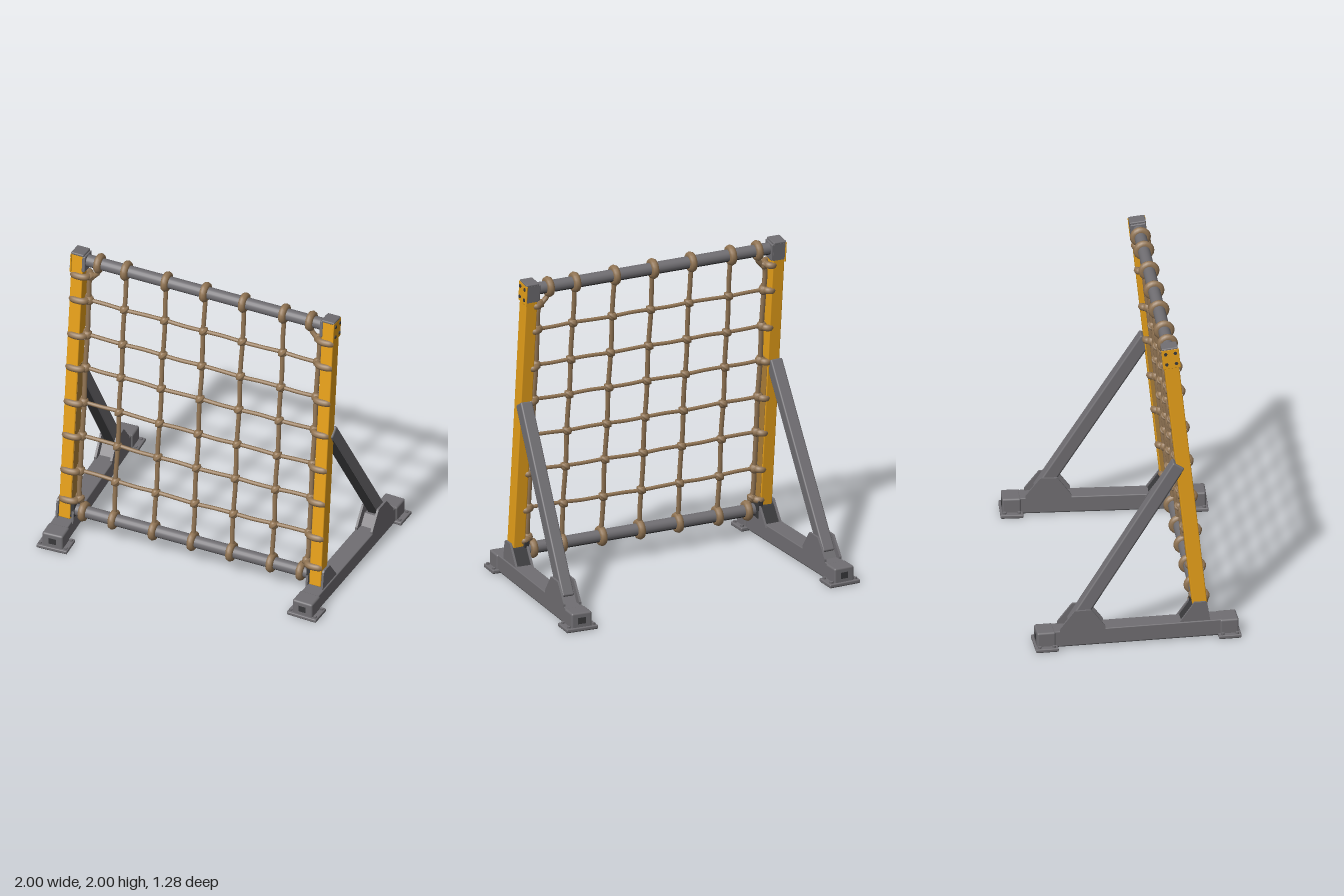
import * as THREE from 'three';
import { RoundedBoxGeometry } from 'three/addons/geometries/RoundedBoxGeometry.js';

const V = (x, y, z) => new THREE.Vector3(x, y, z);
const SLOPE = -0.105;                       // backward lean of the frame
const zAt = (y) => 0.385 + SLOPE * (y - 0.25);
const LEAN = Math.atan(SLOPE);

export function createModel() {
  const mat = (name, color) => {
    const m = new THREE.MeshStandardMaterial({ color });
    m.name = name;
    return m;
  };
  const yellow = mat('yellow paint', 0xe8a11a);
  const worn = mat('worn paint', 0xac7f38);
  const grey = mat('grey steel', 0x706e72);
  const dark = mat('dark steel', 0x39393b);
  const rope = mat('brown rope', 0x927554);

  const root = new THREE.Group();
  root.name = 'climbingNet';

  const add = (parent, name, geo, material, x = 0, y = 0, z = 0) => {
    const m = new THREE.Mesh(geo, material);
    m.name = name;
    m.position.set(x, y, z);
    parent.add(m);
    return m;
  };
  const box = (w, h, d, r = 0.006) => new RoundedBoxGeometry(w, h, d, 2, r);
  const plate = (w, h, d) => new THREE.BoxGeometry(w, h, d);
  const tube = (parent, name, pts, r) =>
    add(parent, name, new THREE.TubeGeometry(
      new THREE.CatmullRomCurve3(pts, false, 'centripetal'), pts.length * 6, r, 8), rope);

  // Trapezoid plate in the z-y plane, centred on x
  const gusset = (pts, t) => {
    const shape = new THREE.Shape(pts.map(([z, y]) => new THREE.Vector2(-z, y)));
    const g = new THREE.ExtrudeGeometry(shape, { depth: t, bevelEnabled: false });
    g.translate(0, 0, -t / 2);
    return g.rotateY(Math.PI / 2);
  };
  const frontGusset = gusset([[0.45, 0.1], [0.43, 0.23], [0.42, 0.24], [0.35, 0.24], [0.33, 0.21], [0.25, 0.1]], 0.014);
  const frontWeb = gusset([[0.36, 0.1], [0.36, 0.225], [0.335, 0.205], [0.262, 0.1]], 0.092);
  const backGusset = gusset([[-0.2, 0.1], [-0.2, 0.13], [-0.285, 0.245], [-0.39, 0.245], [-0.48, 0.13], [-0.48, 0.1]], 0.014);
  const backWeb = gusset([[-0.24, 0.1], [-0.3, 0.18], [-0.39, 0.18], [-0.45, 0.1]], 0.09);
  const bolt = new THREE.CylinderGeometry(0.011, 0.011, 0.014, 6);

  for (const s of [1, -1]) {
    const side = s > 0 ? 'left' : 'right';

    // Floor beam with feet, turned out slightly towards the back
    const base = new THREE.Group();
    base.name = side + 'Base';
    base.position.x = 0.865 * s;
    base.rotation.y = -0.044 * s;
    root.add(base);
    add(base, 'floorBeam', box(0.118, 0.103, 1.235), grey, 0, 0.0635, 0);
    add(base, 'beamUnderside', plate(0.108, 0.004, 1.0), dark, 0, 0.011, 0);
    for (const e of [1, -1]) {
      const padZ = 0.565 * e;
      const padW = e > 0 ? 0.2 : 0.21;
      add(base, 'footPad', box(padW, 0.022, 0.14), grey, 0, 0.013, padZ);
      add(base, 'padUnderside', plate(padW - 0.01, 0.004, 0.13), dark, 0, 0.002, padZ);
      add(base, 'endSleeve', box(0.135, 0.104, 0.115, 0.012), grey, 0, 0.064, padZ);
      add(base, 'endPlate', plate(0.05, 0.04, 0.008), dark, 0, 0.065, 0.62 * e);
      for (const bx of [-0.083, 0.083])
        for (const bz of [-0.045, 0.045]) add(base, 'footBolt', bolt, grey, bx, 0.028, padZ + bz);
    }
    for (const o of [-1, 1]) {
      add(base, 'frontGusset', frontGusset, grey, 0.052 * o - 0.008 * s, 0, 0);
      add(base, 'backGusset', backGusset, grey, 0.052 * o, 0, 0);
    }
    add(base, 'backWeb', backWeb, grey);
    add(base, 'frontWeb', frontWeb, dark, -0.008 * s, 0, 0);

    // Diagonal brace with a dark underside
    const a = V(0.886 * s, 0.14, -0.393), b = V(0.85 * s, 1.178, 0.259);
    const dir = b.clone().sub(a);
    const length = dir.length();
    const brace = new THREE.Group();
    brace.name = side + 'Brace';
    brace.position.copy(a).add(b).multiplyScalar(0.5);
    brace.quaternion.setFromUnitVectors(V(0, 1, 0), dir.normalize());
    root.add(brace);
    add(brace, 'braceBeam', box(0.08, length, 0.082, 0.01), grey);
    add(brace, 'braceUnderside', plate(0.068, length * 0.94, 0.006), dark, 0, 0, 0.0395);

    // Leaning post
    const post = new THREE.Group();
    post.name = side + 'Post';
    post.position.set(0.84 * s, 1.05, zAt(1.05));
    post.rotation.x = LEAN;
    root.add(post);
    add(post, 'postBeam', box(0.078, 1.87, 0.09), yellow);
    add(post, 'innerWear', plate(0.006, 1.0, 0.076), worn, -0.0385 * s, -0.35, 0);
    add(post, 'postCap', box(0.086, 0.016, 0.1), grey, 0, 0.934, 0);
    add(post, 'capBackPlate', plate(0.08, 0.11, 0.008), grey, 0, 0.875, -0.046);
    add(post, 'outerPlate', box(0.008, 0.13, 0.108, 0.003), yellow, 0.04 * s, 0.868, 0);
    for (const by of [0.835, 0.905])
      for (const bz of [-0.03, 0.03])
        add(post, 'postBolt', bolt, dark, 0.043 * s, by, bz).rotation.z = Math.PI / 2;
    add(post, 'topBarBracket', box(0.022, 0.11, 0.096), grey, -0.043 * s, 0.875, 0);
    add(post, 'bottomBarBracket', box(0.034, 0.12, 0.1), dark, -0.046 * s, -0.86, -0.008);

    // Rope lashings across the front of the post and round its inner edge
    for (const y of [1.83, 1.66, 1.41, 1.18, 0.935, 0.7, 0.455, 0.25]) {
      const lash = [[0.03, 0.03], [0.015, 0.042], [-0.03, 0.046], [-0.058, 0.034], [-0.066, 0],
        [-0.058, -0.03], [-0.038, -0.037], [-0.02, -0.02]];
      const m = tube(post, 'postLashing', lash.map(([x, z]) => V(x * s, 0, z)), 0.022);
      m.position.y = (y - 1.05) / Math.cos(LEAN);
    }
  }

  // Cross bars, each an upper shell and a dark underside
  const barArc = (start, sweep) => new THREE.CylinderGeometry(0.038, 0.038, 1.62, 14, 1, true, start, sweep)
    .rotateZ(Math.PI / 2);
  const underSweep = Math.PI * 0.6;
  const underStart = 1.5 * Math.PI - underSweep / 2;
  const underArc = barArc(underStart, underSweep);
  const upperArc = barArc(underStart + underSweep, 2 * Math.PI - underSweep);
  const bars = [[1.93, 'topBar'], [0.175, 'bottomBar']];
  for (const [y, name] of bars) {
    add(root, name, upperArc, grey, 0, y, zAt(y));
    add(root, name + 'Underside', underArc, dark, 0, y, zAt(y));
  }

  // Rope net
  const net = new THREE.Group();
  net.name = 'ropeNet';
  root.add(net);
  const rows = [1.655, 1.41, 1.175, 0.93, 0.69, 0.44];
  const cols = [-0.53, -0.26, 0, 0.26, 0.53];
  const loopGeo = new THREE.TorusGeometry(0.041, 0.024, 8, 20).rotateY(Math.PI / 2);
  const knotGeo = new THREE.SphereGeometry(0.029, 12, 8);
  const wrapGeo = new THREE.TorusGeometry(0.02, 0.014, 6, 12);
  const knot = (x, y, size = 1) => {
    add(net, 'knot', knotGeo, rope, x, y, zAt(y)).scale.setScalar(size);
    const w = add(net, 'knotWrap', wrapGeo, rope, x, y, zAt(y));
    w.rotation.set(Math.PI / 2, 0.7, 0);
  };
  const onNet = (x, y) => V(x, y, zAt(y));

  rows.forEach((y, j) => {
    const pts = [];
    for (let i = -6; i <= 6; i++) {
      const u = i / 6;
      pts.push(onNet(u * 0.79, y + 0.015 * u * u * (j / 5) + 0.003 * Math.sin(i * 2 + j)));
    }
    tube(net, 'horizontalRope', pts, 0.0125);
    for (const x of cols) knot(x, y);
    for (const s of [-1, 1]) knot(0.768 * s, y + 0.012 * (j / 5), 1.1);
  });

  for (const x of cols) {
    const pts = [];
    for (let i = 0; i <= 12; i++)
      pts.push(onNet(x + 0.003 * Math.sin(i * 1.7 + x * 9), 0.2 + i * 0.1417));
    tube(net, 'verticalRope', pts, 0.015);
    for (const [y] of bars) add(net, 'barLoop', loopGeo, rope, x, y, zAt(y));
  }

  // Edge ropes, turning in at the corners to meet the bars
  for (const s of [-1, 1]) {
    tube(net, 'edgeRope', [[0.71, 1.9], [0.715, 1.865], [0.745, 1.83], [0.768, 1.8], [0.77, 1.66], [0.766, 1.41],
      [0.77, 1.18], [0.765, 0.93], [0.768, 0.69], [0.768, 0.45], [0.765, 0.28], [0.75, 0.24], [0.73, 0.2]]
      .map(([x, y]) => onNet(x * s, y)), 0.016);
    add(net, 'cornerLoop', loopGeo, rope, 0.71 * s, 1.93, zAt(1.93));
    add(net, 'cornerLoop', loopGeo, rope, 0.73 * s, 0.175, zAt(0.175));
    knot(0.765 * s, 1.825);
    knot(0.76 * s, 0.255);
  }
  return root;
}
